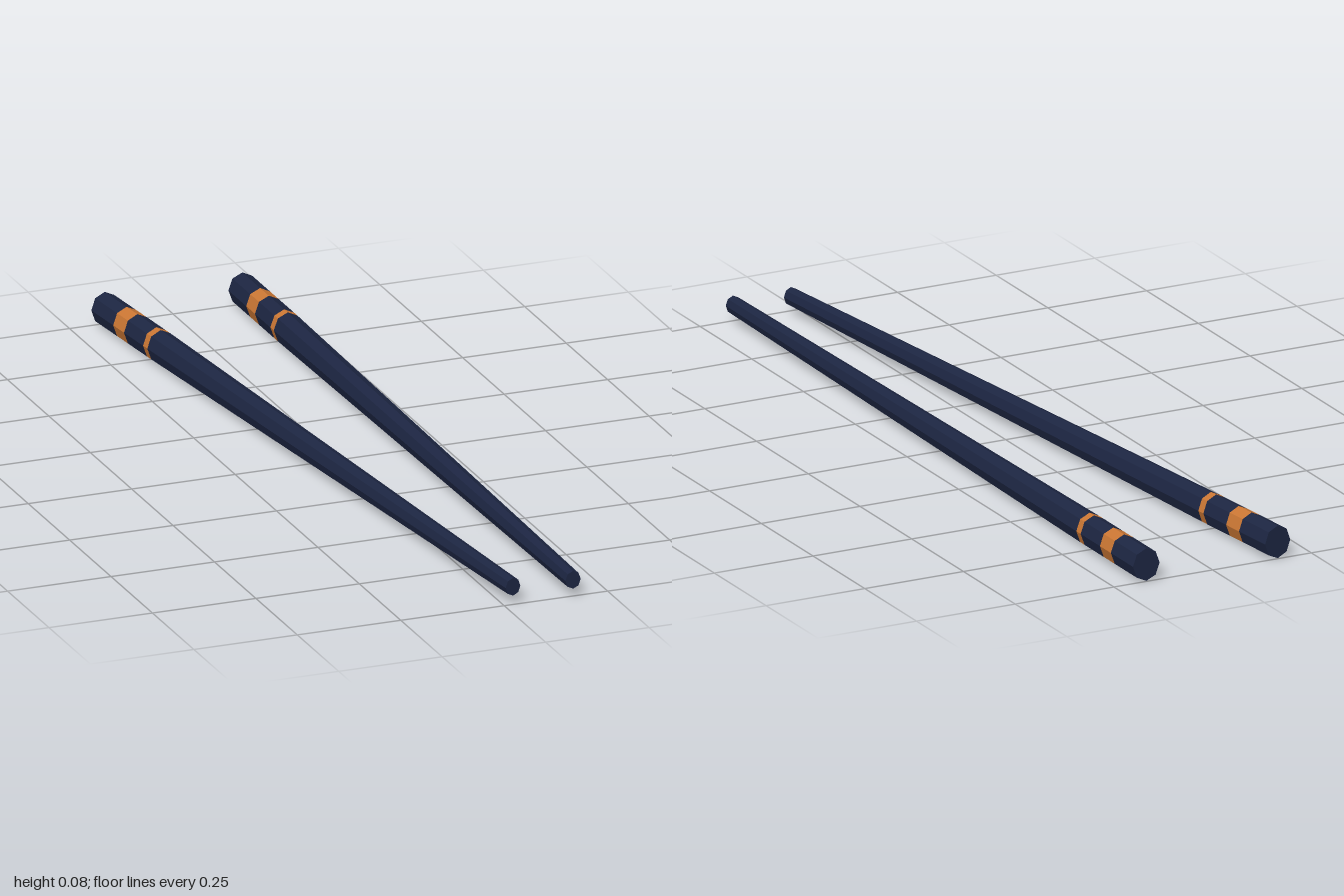
import * as THREE from 'three';

const navy = new THREE.MeshStandardMaterial({ color: 0x1c2541, flatShading: true });
navy.name = 'navy lacquer';
const copper = new THREE.MeshStandardMaterial({ color: 0xc87533, flatShading: true });
copper.name = 'copper';

const R = 0.0387, TIP = 0.0212, LENGTH = 1.997, SQUASH = 0.87;

// Lengthwise sections measured from the handle end: name, start, end, radii, material
const sections = [
  ['handleEnd', 0, 0.107, R, R, navy],
  ['wideBand', 0.107, 0.16, R, R, copper],
  ['handleGrip', 0.16, 0.253, R, R, navy],
  ['thinBand', 0.253, 0.274, R, R, copper],
  ['taperedShaft', 0.274, LENGTH, R, TIP, navy],
];

// One eight-sided stick, running from its handle end at the origin toward +z
function makeStick(name) {
  const stick = new THREE.Group();
  stick.name = name;
  sections.forEach(([part, start, end, rBack, rFront, material], i) => {
    const open = i > 0 && i < sections.length - 1;
    const geometry = new THREE.CylinderGeometry(rFront, rBack, end - start, 8, 1, open);
    geometry.rotateX(Math.PI / 2);
    geometry.scale(SQUASH, 1, 1);
    geometry.translate(0, 0, (start + end) / 2);
    const mesh = new THREE.Mesh(geometry, material);
    mesh.name = part;
    stick.add(mesh);
  });
  return stick;
}

export function createModel() {
  const model = new THREE.Group();
  model.name = 'chopsticks';

  // Straight stick
  const left = makeStick('leftChopstick');
  left.position.set(0.1664, R, -0.997);

  // Slanted stick, turned about its handle end so the tips converge
  const right = makeStick('rightChopstick');
  right.position.set(-0.1664, R, -0.997);
  right.rotation.y = THREE.MathUtils.degToRad(5.5);

  model.add(left, right);
  return model;
}
